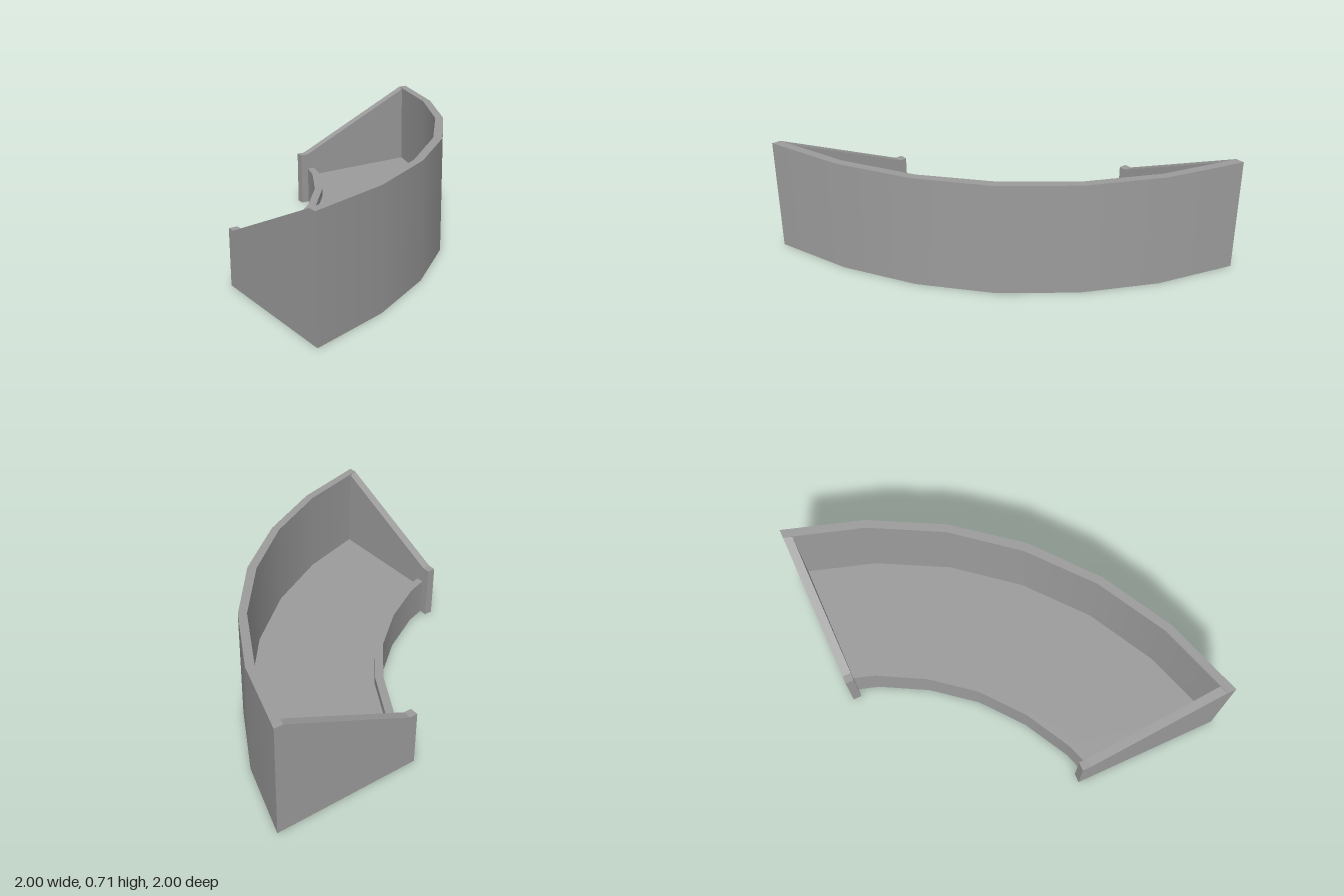
import * as THREE from 'three';

const material = new THREE.MeshStandardMaterial({ color: 0x9c9c9c, side: THREE.DoubleSide });

const TALL = 0.715, LOW = 0.24, FLOOR = 0.19, STUB = 0.345;   // heights
const OUT = -1, IN = -0.947;                                  // end panel faces

// Half outlines in plan [x, z]; the other half swaps x and z.
const mirrored = half => [...half, ...half.slice(0, -1).reverse().map(([x, z]) => [z, x])];
const outerSkin = mirrored([[-1, 1], [-0.51, 0.85], [-0.075, 0.62], [0.31, 0.31]]);
const outerRim = mirrored([[-1, 0.945], [-0.525, 0.8], [-0.1, 0.575], [0.27, 0.27]]);
const outerFoot = mirrored([[IN, 0.93], [-0.525, 0.8], [-0.1, 0.575], [0.27, 0.27]]);
const innerRim = mirrored([[IN, 0.17], [-0.805, 0.128], [-0.505, -0.035], [-0.245, -0.245]]);
const innerSkin = mirrored([[IN, 0.12], [-0.82, 0.08], [-0.535, -0.075], [-0.28, -0.28]]);

const vec = p => new THREE.Vector3(...p);
const quadNormal = ([a, b, , d]) => vec(b).sub(vec(a)).cross(vec(d).sub(vec(a))).normalize();

// Mesh from strips of quads, smooth along each strip and sharp between strips
function stripMesh(strips, name) {
  const position = [], normal = [];
  for (const strip of strips) {
    const flat = strip.map(quadNormal);
    const blend = (i, j) => flat[i].clone().add(flat[j] ?? flat[i]).normalize().toArray();
    strip.forEach((quad, i) => {
      const start = blend(i, i - 1), end = blend(i, i + 1);
      const normals = [start, end, end, start];
      for (const k of [0, 1, 2, 0, 2, 3]) {
        position.push(...quad[k]);
        normal.push(...normals[k]);
      }
    });
  }
  const geo = new THREE.BufferGeometry();
  geo.setAttribute('position', new THREE.Float32BufferAttribute(position, 3));
  geo.setAttribute('normal', new THREE.Float32BufferAttribute(normal, 3));
  const mesh = new THREE.Mesh(geo, material);
  mesh.name = name;
  return mesh;
}

// Strips between rows of plan points, each row lifted to its own height
function sweep(rows, name) {
  const lifted = rows.map(([line, y]) => line.map(([x, z]) => [x, y, z]));
  const strips = lifted.slice(1).map((high, j) => {
    const low = lifted[j];
    return low.slice(1).map((p, i) => [low[i], p, high[i + 1], high[i]]);
  });
  return stripMesh(strips, name);
}

// End panel: level stub, slope, level corner; hollow from below like the walls
function endPanel(swap, name) {
  const tip = 0.07, joint = 0.12, back = 0.945;
  const at = (x, y, z) => (swap ? [z, y, x] : [x, y, z]);
  const outside = (z0, y0, z1, y1) => [at(OUT, 0, z0), at(OUT, 0, z1), at(OUT, y1, z1), at(OUT, y0, z0)];
  const top = (z0, y0, z1, y1) => [at(OUT, y0, z0), at(OUT, y1, z1), at(IN, y1, z1), at(IN, y0, z0)];
  const quads = [
    outside(tip, STUB, joint, STUB),
    outside(joint, STUB, back, TALL),
    outside(back, TALL, 1, TALL),
    top(tip, STUB, joint, STUB),
    top(joint, STUB, back, TALL),
    // inside face above the floor, inside of the stub, tip
    [at(IN, FLOOR, back), at(IN, FLOOR, joint), at(IN, STUB, joint), at(IN, TALL, back)],
    [at(IN, 0, joint), at(IN, 0, tip), at(IN, STUB, tip), at(IN, STUB, joint)],
    [at(IN, 0, tip), at(OUT, 0, tip), at(OUT, STUB, tip), at(IN, STUB, tip)],
  ];
  return stripMesh(quads.map(q => [swap ? q.reverse() : q]), name);
}

export function createModel() {
  const model = new THREE.Group();
  model.name = 'curvedTrough';
  model.add(
    sweep([[outerSkin, 0], [outerSkin, TALL], [outerRim, TALL], [outerFoot, FLOOR]], 'outerWall'),
    sweep([[outerFoot, FLOOR], [innerRim, FLOOR]], 'floor'),
    sweep([[innerRim, FLOOR], [innerRim, LOW], [innerSkin, LOW], [innerSkin, 0]], 'innerWall'),
    endPanel(false, 'rightEndPanel'),
    endPanel(true, 'backEndPanel'),
  );
  return model;
}
